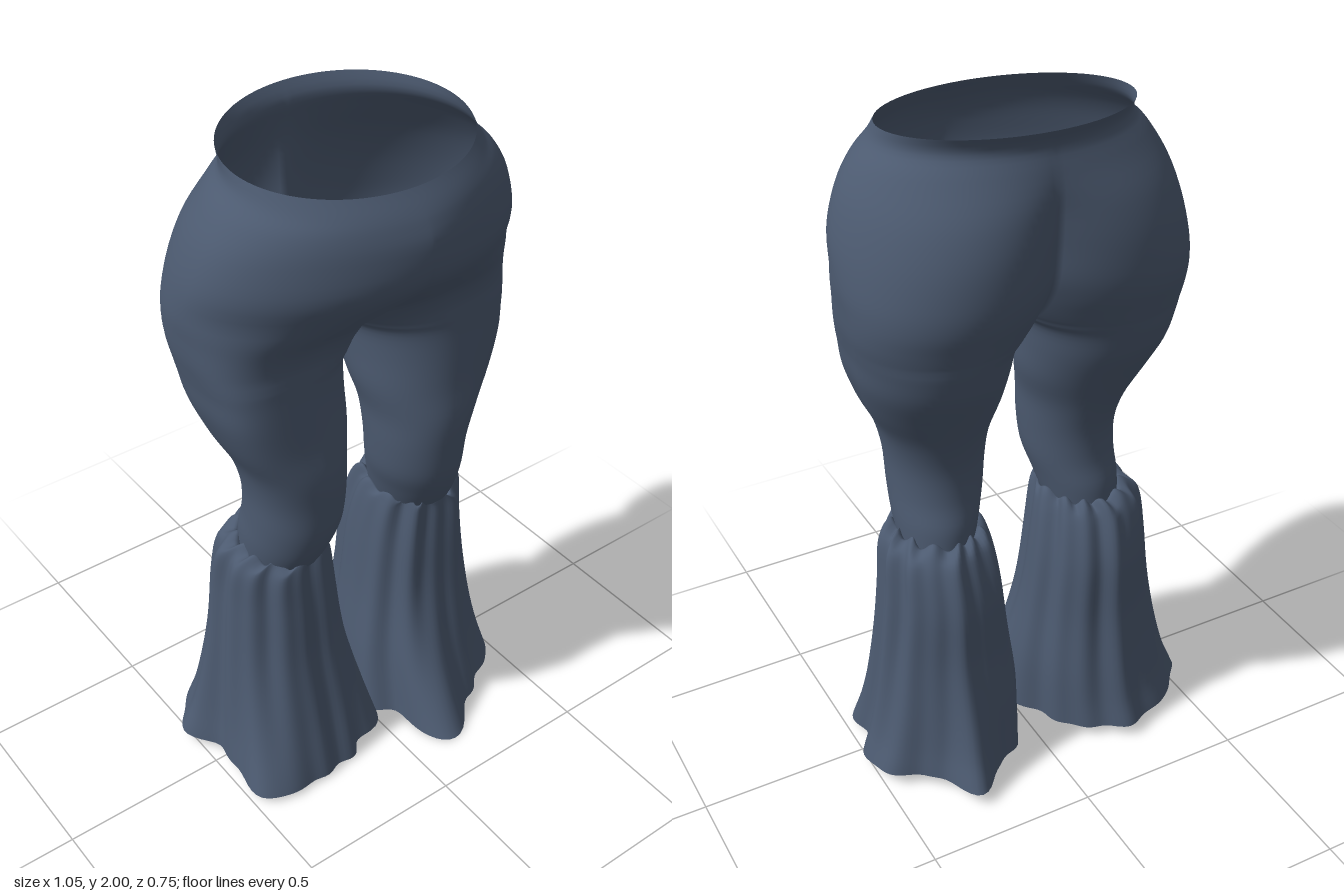
import * as THREE from 'three';
import { mergeVertices } from 'three/addons/utils/BufferGeometryUtils.js';

const fabric = new THREE.MeshStandardMaterial({ color: 0x4c5a70, side: THREE.DoubleSide });
fabric.name = 'slate blue fabric';

// Smooth in-between rows of a table, passing exactly through each row
function refine(rows, steps) {
  const out = [];
  const row = (i) => rows[Math.max(0, Math.min(rows.length - 1, i))];
  for (let i = 0; i < rows.length - 1; i++) {
    for (let s = 0; s < steps; s++) {
      const t = s / steps;
      out.push(rows[i].map((p1, k) => {
        const p0 = row(i - 1)[k], p2 = row(i + 1)[k], p3 = row(i + 2)[k];
        return p1 + 0.5 * t * (p2 - p0 + t * (2 * p0 - 5 * p1 + 4 * p2 - p3 + t * (3 * (p1 - p2) + p3 - p0)));
      }));
    }
  }
  out.push(rows[rows.length - 1]);
  return out;
}

// Joins rings of points (listed from top to bottom) into triangles
function addLoft(rings, positions, mirrored) {
  const tri = (...pts) => {
    if (mirrored) pts.reverse();
    for (const p of pts) positions.push(mirrored ? -p[0] : p[0], p[1], p[2]);
  };
  for (let i = 0; i < rings.length - 1; i++) {
    for (let j = 0; j < rings[i].length - 1; j++) {
      const a = rings[i][j], b = rings[i][j + 1], c = rings[i + 1][j], d = rings[i + 1][j + 1];
      tri(a, b, c);
      tri(b, d, c);
    }
  }
}

function smoothMesh(name, positions) {
  let geometry = new THREE.BufferGeometry();
  geometry.setAttribute('position', new THREE.Float32BufferAttribute(positions, 3));
  geometry = mergeVertices(geometry, 1e-4);
  geometry.computeVertexNormals();
  const mesh = new THREE.Mesh(geometry, fabric);
  mesh.name = name;
  return mesh;
}

// Hips and leg of one side: y, outer x, inner x at front, inner x at back, front z, back z,
// shape of the outer front quarter (above 1 pointed like the belly, below 1 full like the thigh).
// A negative inner x means the section is cut at the centre plane.
const bodyRows = [
  [1.972, 0.345, -0.345, -0.345, 0.28, -0.278, 1],
  [1.93, 0.358, -0.358, -0.35, 0.31, -0.252, 1.05],
  [1.88, 0.405, -0.405, -0.32, 0.332, -0.265, 1.2],
  [1.8, 0.453, -0.45, -0.2, 0.35, -0.295, 1.35],
  [1.7, 0.485, -0.46, -0.14, 0.337, -0.318, 1.2],
  [1.6, 0.495, -0.3, -0.1, 0.252, -0.325, 0.9],
  [1.53, 0.492, -0.13, -0.06, 0.192, -0.318, 0.7],
  [1.47, 0.487, -0.05, -0.03, 0.17, -0.3, 0.6],
  [1.42, 0.478, 0, 0, 0.17, -0.285, 0.55],
  [1.38, 0.47, 0.028, 0.028, 0.171, -0.275, 0.53],
  [1.3, 0.456, 0.037, 0.037, 0.178, -0.25, 0.53],
  [1.2, 0.42, 0.045, 0.045, 0.188, -0.2, 0.6],
  [1.1, 0.372, 0.068, 0.068, 0.203, -0.155, 0.76],
  [1.0, 0.35, 0.075, 0.075, 0.2, -0.126, 0.9],
  [0.9, 0.347, 0.085, 0.085, 0.19, -0.125, 0.96],
  [0.82, 0.348, 0.108, 0.108, 0.165, -0.142, 1],
  [0.76, 0.345, 0.125, 0.125, 0.135, -0.145, 1],
];

function bodyRing([y, outer, innerF, innerB, zf, zb, shape]) {
  const half = 36, ring = [], zm = (zf + zb) / 2, depth = (zf - zb) / 2;
  const tilt = THREE.MathUtils.smoothstep(y, 1.8, 1.97) * -0.11; // waist is lower at the front
  for (let j = -half; j <= half; j++) {
    const inner = j > 0 ? innerF : innerB;
    const cx = (outer + inner) / 2, rx = (outer - inner) / 2;
    const end = inner < 0 ? Math.acos(-cx / rx) : Math.PI;
    const a = (j / half) * end;
    let c = Math.cos(a), s = Math.sin(a);
    if (s > 0 && c > 0) {
      c = c ** shape;
      s = s ** Math.min(shape, 1);
    }
    const z = zm + depth * s;
    // the last point of a cut section lies on the centre plane
    const x = inner < 0 && Math.abs(j) === half ? 0 : cx + rx * c;
    ring.push([x, y + tilt * z, z]);
  }
  return ring;
}

// Gathered flare: y, outer x, inner x, front z, back z, fold depth
const flareRows = [
  [0.755, 0.335, 0.135, 0.125, -0.135, 0.003],
  [0.778, 0.352, 0.118, 0.138, -0.155, 0.006],
  [0.735, 0.395, 0.097, 0.142, -0.198, 0.008],
  [0.6, 0.412, 0.074, 0.15, -0.235, 0.007],
  [0.4, 0.432, 0.05, 0.165, -0.247, 0.007],
  [0.2, 0.452, 0.025, 0.203, -0.272, 0.007],
  [0.015, 0.475, 0.02, 0.255, -0.295, 0.007],
];

// Hem corners swinging outward: angle, reach, spread
const hemCorners = {
  left: [[-1.48, 0.085, 0.26], [-0.32, 0.06, 0.3], [1.9, 0.15, 0.3], [0.6, 0.03, 0.3], [2.75, 0.04, 0.4]],
  right: [[-0.42, 0.07, 0.28], [-0.95, 0.045, 0.35], [0.8, 0.09, 0.32], [-1.6, 0.035, 0.35], [2.75, 0.08, 0.4]],
};

function flareRing([y, outer, inner, zf, zb, fold], corners, phase) {
  const n = 112, ring = [];
  const cx = (outer + inner) / 2, rx = (outer - inner) / 2;
  const zm = (zf + zb) / 2, rz = (zf - zb) / 2;
  const swing = Math.max(0, 1 - y / 0.55) ** 2;
  const low = 1 - THREE.MathUtils.smoothstep(y, 0, 0.15);
  const top = THREE.MathUtils.smoothstep(y, 0.74, 0.778);
  for (let j = 0; j <= n; j++) {
    const a = ((j % n) / n) * Math.PI * 2;
    let r = fold * (Math.cos(9 * a + phase + 1.2 * Math.sin(2 * a + phase) + 0.8 * y) + 0.7 * Math.cos(14 * a + 2 * phase + y));
    for (const [angle, reach, spread] of corners) {
      const d = Math.atan2(Math.sin(a - angle), Math.cos(a - angle));
      r += reach * swing * Math.exp(-((d / spread) ** 2));
    }
    const z = zm + (rz + r) * Math.sin(a);
    const lift = low * (0.01 - 0.05 * z + 0.01 * Math.cos(a)) + top * 0.012 * Math.cos(13 * a + phase + Math.sin(3 * a));
    ring.push([cx + (rx + r) * Math.cos(a), Math.max(0, y + lift), z]);
  }
  return ring;
}

export function createModel() {
  const model = new THREE.Group();
  model.name = 'flaredTrousers';

  // Hips, seat and both legs as one smooth skin
  const body = [];
  const bodyRings = refine(bodyRows, 4).map(bodyRing);
  for (const mirrored of [false, true]) addLoft(bodyRings, body, mirrored);
  model.add(smoothMesh('hipsAndLegs', body));

  // Ruffled flares below the knees
  for (const side of ['left', 'right']) {
    const flare = [];
    const phase = side === 'left' ? 0.4 : 1.7;
    const rings = refine(flareRows, 6).map((row) => flareRing(row, hemCorners[side], phase));
    addLoft(rings, flare, side === 'right');
    model.add(smoothMesh(side + 'Flare', flare));
  }
  return model;
}
